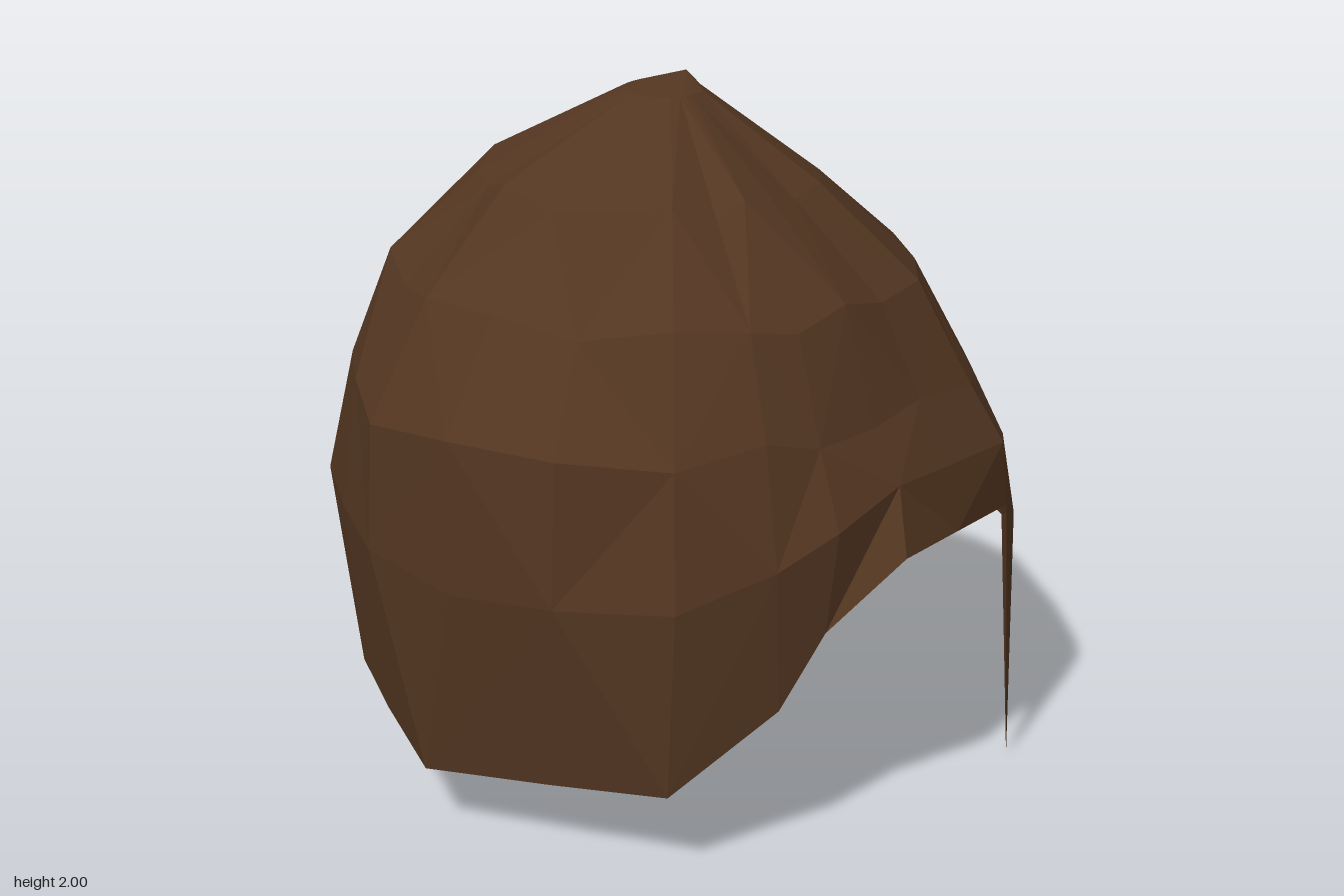
import * as THREE from 'three';

// Plan outline at the widest height (x, z) and the hem point below it (x, y, z),
// going round from the brow (+x) by way of +z.
const COLUMNS = [
  [0.92, 0.15, 0.94, 0.82, 0.12], [0.76, 0.35, 0.79, 0.84, 0.36],
  [0.62, 0.52, 0.64, 0.86, 0.60], [0.46, 0.67, 0.43, 0.67, 0.66],
  [0.30, 0.75, 0.31, 0.47, 0.72], [0.04, 0.84, 0.02, 0.26, 0.82],
  [-0.28, 0.79, -0.30, 0.23, 0.70], [-0.56, 0.67, -0.65, 0.20, 0.56],
  [-0.80, 0.44, -0.78, 0.27, 0.33], [-0.90, 0.20, -0.87, 0.33, 0.15],
  [-0.98, -0.08, -0.90, 0.35, -0.02], [-0.92, -0.38, -0.84, 0.28, -0.27],
  [-0.78, -0.55, -0.74, 0.23, -0.47], [-0.62, -0.69, -0.50, 0.20, -0.68],
  [-0.17, -0.84, -0.13, 0.21, -0.81], [0.19, -0.82, 0.20, 0.50, -0.83],
  [0.44, -0.73, 0.48, 0.71, -0.74], [0.68, -0.58, 0.71, 0.78, -0.61],
  [0.83, -0.35, 0.84, 0.73, -0.36], [0.92, -0.12, 0.95, 0.69, -0.12],
  [0.93, 0.02, 0.97, 0.76, 0.03],
];

// Rings above the widest height: y, reach toward +x, -x, +z, -z,
// then extra fullness at the brow corners and at the -x +z corner
const RINGS = [
  [1.965, 0.09, 0.13, 0.10, 0.14, 0, 0],
  [1.73, 0.41, 0.53, 0.39, 0.44, 0.02, 0],
  [1.47, 0.68, 0.78, 0.62, 0.62, 0.05, 0],
  [1.18, 0.85, 0.90, 0.77, 0.80, -0.02, 0.08],
];
const APEX = [0.04, 2, -0.08];

function flatMesh(name, positions, material) {
  const geometry = new THREE.BufferGeometry();
  geometry.setAttribute('position', new THREE.Float32BufferAttribute(positions, 3));
  geometry.computeVertexNormals();
  const mesh = new THREE.Mesh(geometry, material);
  mesh.name = name;
  return mesh;
}

export function createModel() {
  const group = new THREE.Group();
  group.name = 'hair';
  const brown = new THREE.MeshStandardMaterial({ color: 0x533621, flatShading: true, side: THREE.DoubleSide });
  brown.name = 'dark brown hair';

  // Upper rings, with slightly uneven heights except over the brow
  const rows = RINGS.map(([y, xp, xn, zp, zn, brow, side], i) => COLUMNS.map(([px, pz], j) => {
    const corner = Math.abs(2 * px * pz) / (px * px + pz * pz);
    const full = 1 + corner * (px > 0 ? brow : pz > 0 ? side : 0);
    const uneven = i && px < 0.9 ? 0.025 * Math.sin(j * 2.3 + i * 1.7) : 0;
    return [
      px * full * (px > 0 ? xp / 0.94 : xn / 0.98),
      y + uneven,
      pz * full * (pz > 0 ? zp / 0.84 : zn / 0.84),
    ];
  }));
  // Widest ring, then the hem
  rows.push(COLUMNS.map(([px, pz, , hy]) => [px, THREE.MathUtils.lerp(1.15, hy, 0.4), pz]));
  rows.push(COLUMNS.map(([, , x, y, z]) => [x, y, z]));

  // Cap shell
  const shell = [];
  const n = COLUMNS.length;
  for (let j = 0; j < n; j++) {
    const k = (j + 1) % n;
    shell.push(...APEX, ...rows[0][k], ...rows[0][j]);
    for (let i = 0; i < rows.length - 1; i++) {
      const a = rows[i][j], b = rows[i][k], c = rows[i + 1][j], d = rows[i + 1][k];
      if ((i + j) % 2) shell.push(...a, ...b, ...c, ...b, ...d, ...c);
      else shell.push(...a, ...b, ...d, ...a, ...d, ...c);
    }
  }
  group.add(flatMesh('hairCap', shell, brown));

  // Pointed lock hanging over the brow
  const hem = rows[rows.length - 1];
  const tip = [0.98, 0, 0.04];
  group.add(flatMesh('browLock', [
    ...hem[n - 1], ...hem[0], ...tip,
    ...hem[n - 2], ...hem[n - 1], ...tip,
  ], brown));

  return group;
}
